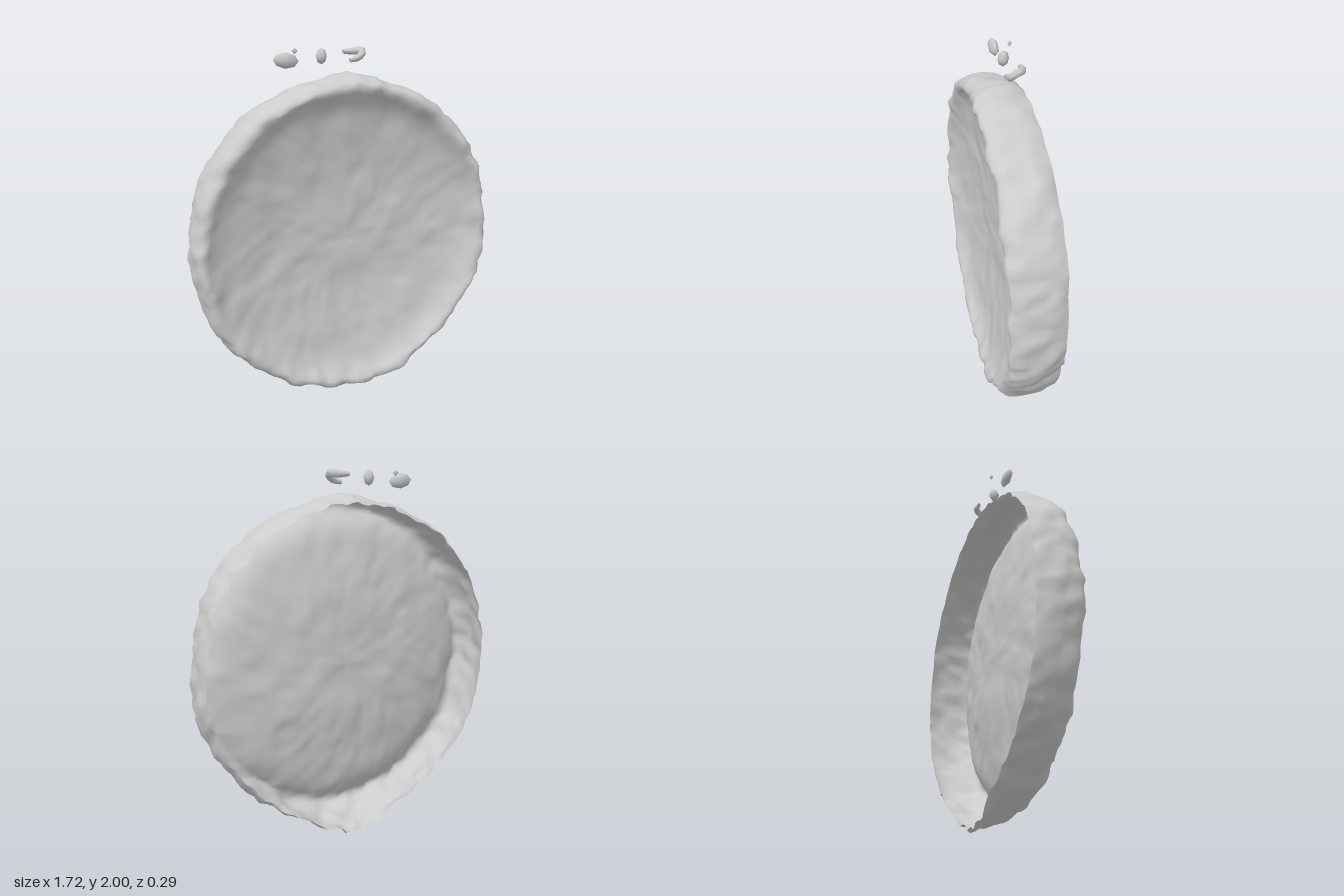
import * as THREE from 'three';
import { mergeVertices } from 'three/addons/utils/BufferGeometryUtils.js';

const BACK = -0.145, CY = 0.97, RX = 0.86, RY = 0.905;

// seeded lattice noise, smooth, -1..1
const hash = (i, j, k) => {
  const s = Math.sin(i * 127.1 + j * 311.7 + k * 74.7 + 5.3) * 43758.5453;
  return 2 * (s - Math.floor(s)) - 1;
};
function noise(x, y, z) {
  const [i, j, k] = [x, y, z].map(Math.floor);
  const [u, v, w] = [x - i, y - j, z - k].map((t) => t * t * (3 - 2 * t));
  let sum = 0;
  for (let n = 0; n < 8; n++) {
    const a = n & 1, b = (n >> 1) & 1, c = n >> 2;
    sum += hash(i + a, j + b, k + c) * (a ? u : 1 - u) * (b ? v : 1 - v) * (c ? w : 1 - w);
  }
  return sum;
}

// merge the seam and smooth the shading
function smooth(geo) {
  geo.deleteAttribute('uv');
  geo.deleteAttribute('normal');
  const merged = mergeVertices(geo, 1e-4);
  merged.computeVertexNormals();
  return merged;
}

// open-backed shell: outer wall, rounded rim, then the shallow dish
function shellGeometry() {
  const profile = [
    [0.966, BACK], [0.978, -0.125], [0.988, -0.1], [0.995, -0.075], [0.998, -0.05],
    [0.998, -0.02], [0.996, 0.01], [0.992, 0.035], [0.985, 0.06], [0.975, 0.085],
    [0.96, 0.105], [0.942, 0.115], [0.92, 0.112], [0.9, 0.1], [0.875, 0.082],
    [0.845, 0.066], [0.81, 0.052], [0.77, 0.04],
  ].map(([r, z]) => new THREE.Vector2(r, z));
  for (let i = 1; i <= 18; i++) {
    const r = 0.77 * (1 - i / 18);
    profile.push(new THREE.Vector2(r, -0.02 + 0.06 * Math.pow(r / 0.77, 2.4)));
  }
  const geo = new THREE.LatheGeometry(profile, 170);
  geo.rotateX(Math.PI / 2);

  const p = geo.attributes.position;
  for (let i = 0; i < p.count; i++) {
    let x = p.getX(i), y = p.getY(i), z = p.getZ(i);
    const edge = THREE.MathUtils.smoothstep(Math.hypot(x, y), 0.8, 0.96);
    const back = THREE.MathUtils.clamp((0.05 - z) / 0.19, 0, 1);
    // rugged wall, rougher towards the bottom
    const rough = 0.016 + 0.008 * Math.max(0, -y);
    const grow = 1 + edge * (0.012 * noise(x * 5, y * 5, z * 4) +
      rough * noise(x * 17, y * 17, z * 14 + 9));
    // the wall leans in at the top of the back, and hangs as a ragged lip at the bottom
    const top = y > 0 ? 0.02 * edge * back * y * y : 0;
    const lip = y < 0 ? Math.exp(-Math.pow(x / 0.25, 4)) * edge * back : 0;
    const drop = lip * (0.078 + 0.026 * noise(x * 24, 3, z * 18));
    // small nub on the top
    const nub = y > 0 ? 0.016 * edge * Math.exp(-Math.pow((x - 0.05) / 0.025, 2)) : 0;
    // uneven dish, rim standing further forward on one side
    if (z > BACK + 0.001) {
      z += 0.008 * noise(x * 7, y * 7, 2) + (0.004 + 0.008 * edge) * noise(x * 16, y * 16, 6);
      if (z > 0) z += edge * (0.02 * x + 0.006 * y);
    }
    p.setXYZ(i, x * RX * grow, Math.max(0, CY + y * RY * grow - drop - top + nub), z);
  }
  return smooth(geo);
}

export function createModel() {
  const model = new THREE.Group();
  const material = new THREE.MeshStandardMaterial({ color: 0xcccccc, side: THREE.DoubleSide });
  const add = (name, geo) => {
    const mesh = new THREE.Mesh(geo, material);
    mesh.name = name;
    model.add(mesh);
    return mesh;
  };

  add('dishShell', shellGeometry());

  // loose chips above the rim: position, half sizes, roll
  const chips = [
    [[-0.295, 1.945, -0.068], [0.068, 0.04, 0.026], -0.1],
    [[-0.225, 1.984, -0.135], [0.018, 0.016, 0.012], 0],
    [[-0.103, 1.96, -0.07], [0.03, 0.041, 0.03], 0],
  ];
  chips.forEach(([pos, size, roll], i) => {
    const chip = add('looseChip' + (i + 1), smooth(new THREE.OctahedronGeometry(1, i === 1 ? 0 : 1)));
    chip.position.set(...pos);
    chip.scale.set(...size);
    chip.rotation.z = roll;
  });

  // hooked chip
  const hook = new THREE.CatmullRomCurve3([
    [0.035, 1.975, -0.115], [0.085, 1.975, -0.115], [0.13, 1.98, -0.07],
    [0.1, 1.95, -0.05], [0.045, 1.935, -0.045],
  ].map((v) => new THREE.Vector3(...v)));
  const hookGeo = new THREE.TubeGeometry(hook, 10, 0.021, 6);
  // taper towards both ends
  const hp = hookGeo.attributes.position, ring = 7, c = new THREE.Vector3(), v = new THREE.Vector3();
  for (let i = 0; i < hp.count; i++) {
    const t = Math.floor(i / ring) / 10;
    hook.getPointAt(t, c);
    v.fromBufferAttribute(hp, i).sub(c).multiplyScalar(0.5 + 0.5 * Math.sin(Math.PI * t)).add(c);
    hp.setXYZ(i, v.x, Math.min(v.y, 2), v.z);
  }
  add('hookedChip', smooth(hookGeo));

  return model;
}
